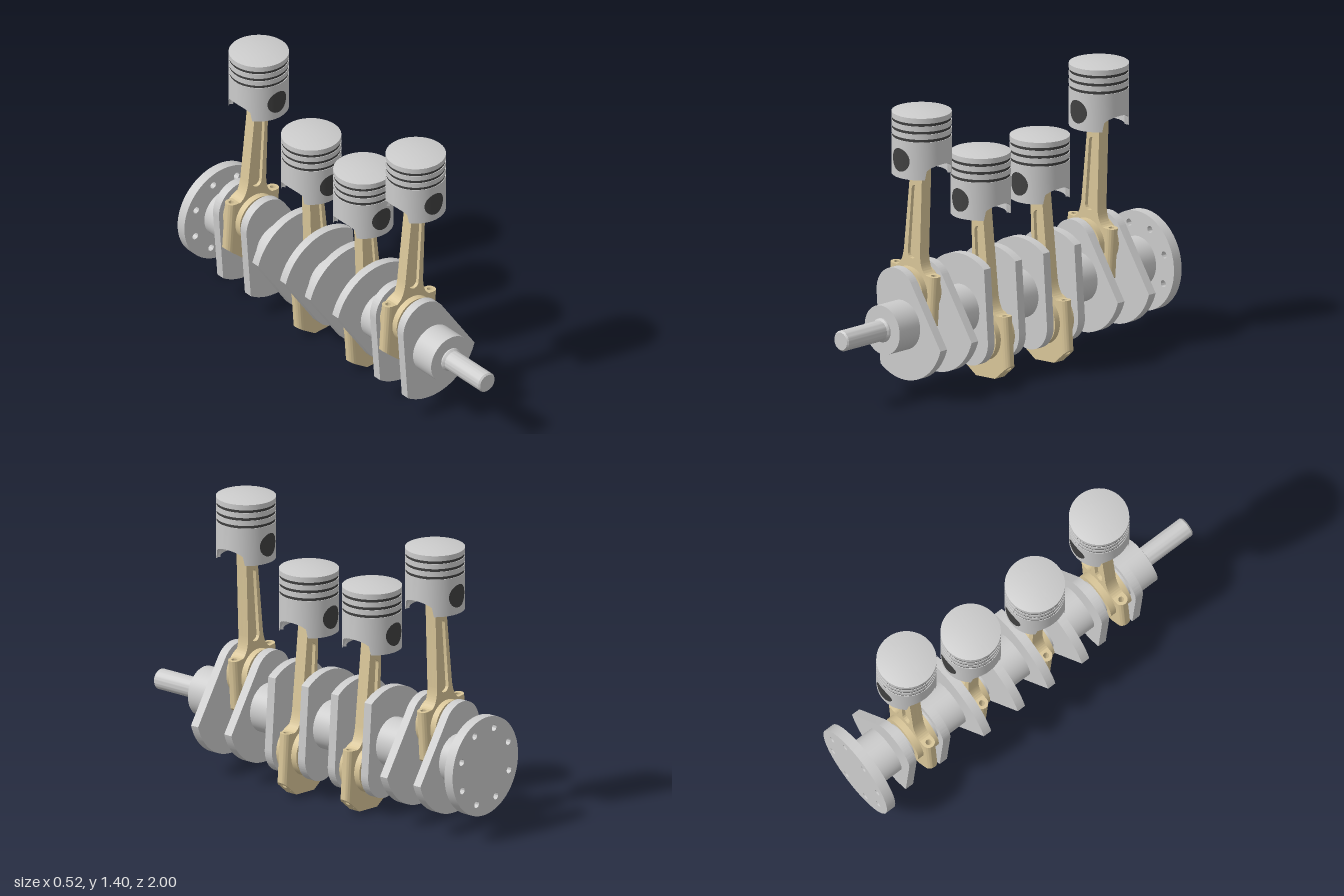
import * as THREE from 'three';
import { toCreasedNormals } from 'three/addons/utils/BufferGeometryUtils.js';

const grey = new THREE.MeshStandardMaterial({ color: 0xcccccc });
const tan = new THREE.MeshStandardMaterial({ color: 0xd8c598 });
const dark = new THREE.MeshStandardMaterial({ color: 0x404040 });

const AXIS_Y = 0.35, THROW = 0.147, TILT = 0.339, ROD = 0.68;
const ROD_Z = [0.47, 0.083, -0.304, -0.691];
const WEB_GAP = 0.102, WEB_T = 0.044, PISTON_R = 0.143;

function add(parent, name, geo, mat, x = 0, y = 0, z = 0) {
  const m = new THREE.Mesh(geo, mat);
  m.name = name;
  m.position.set(x, y, z);
  parent.add(m);
  return m;
}

// Cylinder along z between two depths
function rodZ(parent, name, r, z0, z1, mat, x = 0, y = 0) {
  const g = new THREE.CylinderGeometry(r, r, Math.abs(z1 - z0), 48).rotateX(Math.PI / 2);
  return add(parent, name, g, mat, x, y, (z0 + z1) / 2);
}

// Plate in the xy plane starting at depth z0
function plate(shape, z0, depth) {
  const g = new THREE.ExtrudeGeometry(shape, { depth, bevelEnabled: false, curveSegments: 32 });
  return toCreasedNormals(g.translate(0, 0, z0), 0.5);
}

function circleHole(x, y, r) {
  return new THREE.Path().absarc(x, y, r, 0, Math.PI * 2, true);
}

// Crank web: round lobe about the pin, straight flanks, arc counterweight
function webGeometry() {
  const lobe = 0.13, R = 0.27, a = -0.632;
  const cx = R * Math.cos(a), cy = R * Math.sin(a);
  const t = Math.atan2(cy - THROW, cx) + Math.acos(lobe / Math.hypot(cx, cy - THROW));
  const s = new THREE.Shape();
  s.moveTo(cx, cy);
  s.absarc(0, THROW, lobe, t, Math.PI - t, false);
  s.absarc(0, 0, R, Math.PI - a, Math.PI * 2 + a, false);
  return plate(s, -WEB_T / 2, WEB_T);
}

// Connecting rod outline: cap, big end and tapering shank
function rodOutline() {
  const s = new THREE.Shape();
  s.moveTo(-0.065, -0.206);
  s.lineTo(0.065, -0.206);
  s.lineTo(0.1, -0.18);
  s.lineTo(0.1, 0.104);
  s.quadraticCurveTo(0.062, 0.12, 0.055, 0.2);
  s.lineTo(0.037, ROD);
  s.lineTo(-0.037, ROD);
  s.lineTo(-0.055, 0.2);
  s.quadraticCurveTo(-0.062, 0.12, -0.1, 0.104);
  s.lineTo(-0.1, -0.18);
  return s;
}

// Bolt lug with a vertical through hole and a sloped foot
function lugGeometry() {
  const s = new THREE.Shape();
  s.moveTo(0.09, -0.03);
  s.lineTo(0.128, -0.03);
  s.absarc(0.128, 0, 0.03, -Math.PI / 2, Math.PI / 2, false);
  s.lineTo(0.09, 0.03);
  s.holes.push(circleHole(0.128, 0, 0.014));
  const g = new THREE.ExtrudeGeometry(s, { depth: 0.1, bevelEnabled: false, curveSegments: 20 });
  g.rotateX(-Math.PI / 2);
  const p = g.attributes.position;
  for (let i = 0; i < p.count; i++) {
    p.setY(i, p.getY(i) < 0.05 ? -0.137 - (0.158 - p.getX(i)) * 0.74 : 0.104);
  }
  return toCreasedNormals(g, 0.5);
}

function makeRod() {
  const rod = new THREE.Group();
  rod.name = 'connectingRod';
  const face = rodOutline();
  const slot = new THREE.Path();
  slot.absarc(0, 0.505, 0.024, 0, Math.PI, false);
  slot.absarc(0, 0.19, 0.028, Math.PI, Math.PI * 2, false);
  slot.closePath();
  face.holes.push(slot);
  add(rod, 'rodCore', plate(rodOutline(), -0.012, 0.024), tan);
  add(rod, 'rodFrontFace', plate(face, 0.012, 0.018), tan);
  add(rod, 'rodBackFace', plate(face, -0.03, 0.018), tan);
  rodZ(rod, 'bigEndRing', 0.12, -0.062, 0.062, tan);
  rodZ(rod, 'smallEnd', 0.065, -0.08, 0.08, tan, 0, ROD);
  const lug = lugGeometry();
  for (const turn of [0, Math.PI]) add(rod, 'boltLug', lug, tan).rotation.y = turn;
  return rod;
}

// Piston, with the wrist pin centre as origin
function makePiston() {
  const piston = new THREE.Group();
  piston.name = 'piston';
  const R = PISTON_R, grooves = [0.182, 0.143, 0.104], half = 0.007;
  const pts = [[0, 0.08], [0.122, 0.08], [0.122, -0.09], [R, -0.09]];
  for (const y of [...grooves].reverse()) {
    pts.push([R, y - half], [0.134, y - half], [0.134, y + half], [R, y + half]);
  }
  pts.push([R, 0.215], [0.11, 0.222], [0.06, 0.228], [0, 0.231]);
  const g = new THREE.LatheGeometry(pts.map(p => new THREE.Vector2(...p)), 96);
  // Arched cut-outs on both sides of the skirt
  const p = g.attributes.position;
  for (let i = 0; i < p.count; i++) {
    const k = p.getZ(i) / 0.085;
    if (p.getY(i) < -0.08 && Math.abs(k) < 1) p.setY(i, -0.06 + 0.04 * Math.sqrt(1 - k * k));
  }
  const mat = grey.clone();
  mat.side = THREE.DoubleSide;
  add(piston, 'pistonBody', toCreasedNormals(g, 0.5), mat);
  for (const y of grooves) {
    add(piston, 'pistonRing', new THREE.CylinderGeometry(0.14, 0.14, half * 2, 64, 1, true), dark, 0, y);
  }
  // Wrist pin and its ends, which follow the skirt surface
  rodZ(piston, 'wristPin', 0.055, -0.125, 0.125, dark);
  const end = new THREE.RingGeometry(0.0001, 0.057, 40, 8);
  const e = end.attributes.position;
  for (let i = 0; i < e.count; i++) e.setZ(i, Math.sqrt(R * R - e.getX(i) ** 2) + 0.0015);
  end.computeVertexNormals();
  for (const turn of [0, Math.PI]) add(piston, 'wristPinEnd', end, dark).rotation.y = turn;
  return piston;
}

export function createModel() {
  const model = new THREE.Group();
  model.name = 'crankshaftAssembly';
  const crank = new THREE.Group();
  crank.name = 'crankshaft';
  crank.position.y = AXIS_Y;
  model.add(crank);

  // Nose shaft with chamfered tip
  const nose = [[0, 0.7], [0.058, 0.7], [0.058, 0.735], [0.05, 0.745], [0.05, 0.992], [0.043, 1], [0, 1]];
  const noseGeo = new THREE.LatheGeometry(nose.map(p => new THREE.Vector2(...p)), 48);
  add(crank, 'noseShaft', toCreasedNormals(noseGeo.rotateX(Math.PI / 2), 0.5), grey);

  // Main journals between the throws
  const edges = [0.728, ...ROD_Z.flatMap(z => [z + WEB_GAP, z - WEB_GAP]), -0.96];
  for (let i = 0; i < edges.length; i += 2) rodZ(crank, 'mainJournal', 0.12, edges[i], edges[i + 1], grey);

  // Drive flange with eight bolt holes
  const flange = new THREE.Shape().absarc(0, 0, 0.243, 0, Math.PI * 2, false);
  for (let i = 0; i < 8; i++) {
    const a = 0.354 + i * Math.PI / 4;
    flange.holes.push(circleHole(0.187 * Math.cos(a), 0.187 * Math.sin(a), 0.017));
  }
  add(crank, 'driveFlange', plate(flange, -1, 0.05), grey);

  // Four throws, the inner two opposite the outer two
  const web = webGeometry();
  ROD_Z.forEach((z, i) => {
    const angle = TILT + (i === 1 || i === 2 ? Math.PI : 0);
    const px = -THROW * Math.sin(angle), py = THROW * Math.cos(angle);
    for (const s of [1, -1]) add(crank, 'crankWeb', web, grey, 0, 0, z + s * WEB_GAP).rotation.z = angle;
    rodZ(crank, 'crankPin', 0.09, z - WEB_GAP, z + WEB_GAP, grey, px, py);

    const rod = makeRod();
    rod.position.set(px, AXIS_Y + py, z);
    rod.rotation.z = Math.asin(px / ROD);
    const piston = makePiston();
    piston.position.set(0, AXIS_Y + py + Math.sqrt(ROD * ROD - px * px), z);
    model.add(rod, piston);
  });
  return model;
}
